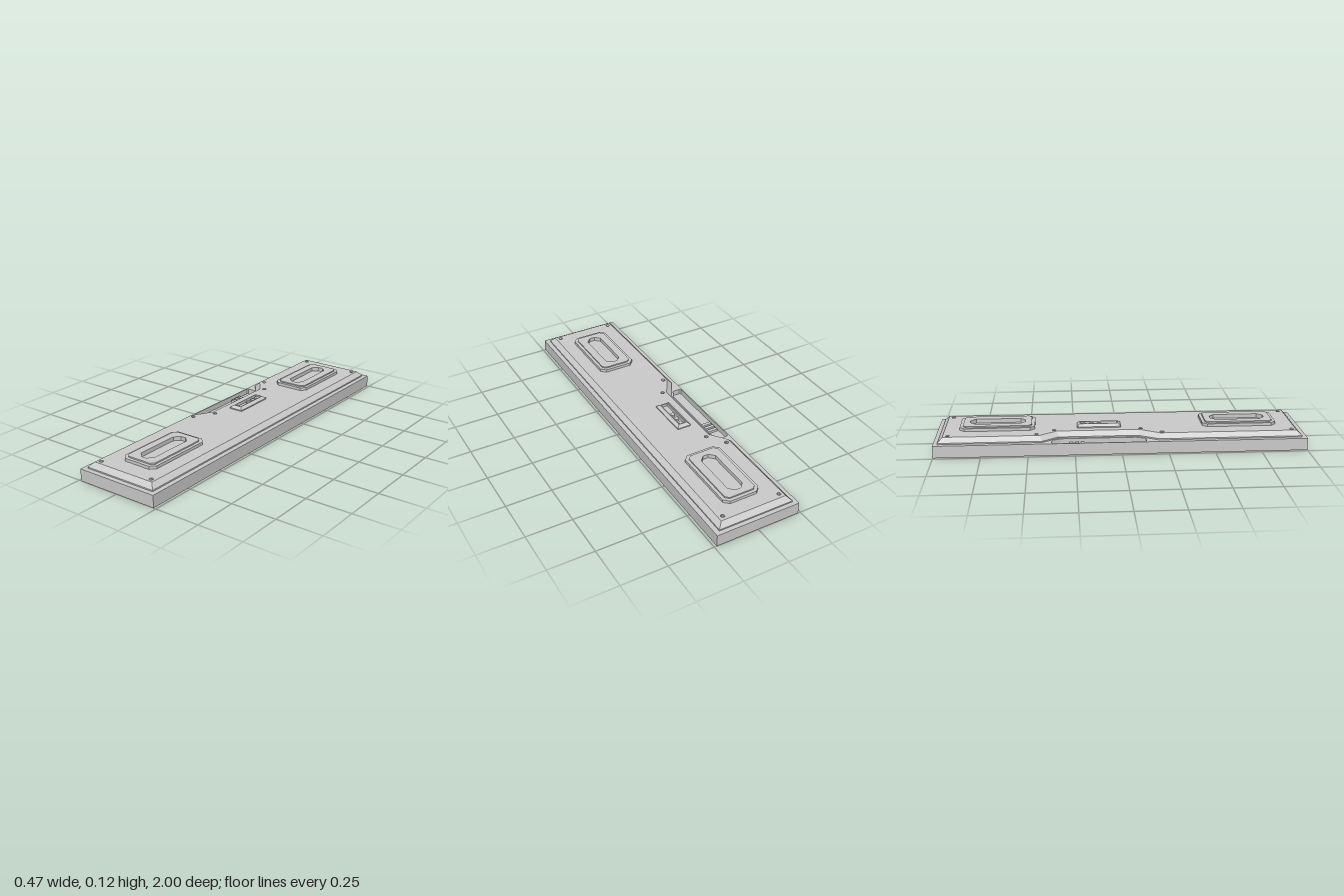
import * as THREE from 'three';
import { mergeGeometries } from 'three/addons/utils/BufferGeometryUtils.js';

const material = new THREE.MeshStandardMaterial({ color: 0xcccccc, flatShading: true });

// Loops are lists of [x, z], counter-clockwise seen from above.
// Skin through rings [loop, y]; rising rings face outward, falling rings face inward.
function loft(rings) {
  const pos = [];
  for (let k = 0; k < rings.length - 1; k++) {
    const [lo, y0] = rings[k], [hi, y1] = rings[k + 1];
    lo.forEach((a, i) => {
      const j = (i + 1) % lo.length, b = lo[j], c = hi[j], d = hi[i];
      const A = [a[0], y0, a[1]], B = [b[0], y0, b[1]], C = [c[0], y1, c[1]], D = [d[0], y1, d[1]];
      pos.push(...A, ...B, ...C, ...A, ...C, ...D);
    });
  }
  const g = new THREE.BufferGeometry();
  g.setAttribute('position', new THREE.Float32BufferAttribute(pos, 3));
  g.computeVertexNormals();
  return g;
}

// Flat upward (or downward) face with optional holes
function cap(loop, y, holes = [], down = false) {
  const s = down ? 1 : -1;
  const pts = (l) => l.map(([x, z]) => new THREE.Vector2(x, s * z));
  const shape = new THREE.Shape(pts(loop));
  holes.forEach((h) => shape.holes.push(new THREE.Path(pts(h))));
  const g = new THREE.ShapeGeometry(shape).toNonIndexed();
  g.deleteAttribute('uv');
  return g.rotateX(s * Math.PI / 2).translate(0, y, 0);
}

// Rectangle with chamfered corners
function octagon(cx, cz, w, d, c) {
  const a = w / 2, b = d / 2;
  return [[a, b - c], [a, c - b], [a - c, -b], [c - a, -b], [-a, c - b], [-a, b - c], [c - a, b], [a - c, b]]
    .map(([x, z]) => [cx + x, cz + z]);
}

function rect(x0, x1, z0, z1) {
  return [[x1, z1], [x1, z0], [x0, z0], [x0, z1]];
}

function circle(cx, cz, r, n = 10) {
  return Array.from({ length: n }, (_, i) => {
    const t = (i / n) * Math.PI * 2;
    return [cx + r * Math.cos(t), cz - r * Math.sin(t)];
  });
}

export function createModel() {
  const group = new THREE.Group();
  const add = (name, ...geos) => {
    const mesh = new THREE.Mesh(mergeGeometries(geos), material);
    mesh.name = name;
    group.add(mesh);
  };
  const baseTop = 0.066, panelTop = 0.098, recessFloor = 0.036;

  // Base slab with a shallow recess beside the notch
  const slab = rect(-0.236, 0.236, -1, 1);
  const recess = [[-0.157, 0.08], [-0.157, -0.325], [-0.18, -0.374], [-0.222, -0.374],
    [-0.23, -0.366], [-0.23, 0.122], [-0.222, 0.13], [-0.18, 0.13]];
  add('base',
    cap(slab, 0, [], true), loft([[slab, 0], [slab, baseTop]]), cap(slab, baseTop, [recess]),
    loft([[recess, baseTop], [recess, recessFloor]]), cap(recess, recessFloor));

  // Small ribs on the recess floor
  for (const z of [-0.27, -0.24, -0.21]) {
    const rib = rect(-0.222, -0.165, z - 0.009, z + 0.009);
    add('recessRib', loft([[rib, recessFloor], [rib, 0.05]]), cap(rib, 0.05));
  }

  // Bevelled panel with a notch in one long side and screw holes in its top
  const panelOuter = [[0.21, 0.974], [0.21, -0.977], [-0.211, -0.977], [-0.211, -0.425],
    [-0.146, -0.337], [-0.146, 0.09], [-0.211, 0.2], [-0.211, 0.974]];
  const panelInner = [[0.185, 0.948], [0.185, -0.951], [-0.187, -0.951], [-0.187, -0.437],
    [-0.12, -0.347], [-0.12, 0.099], [-0.187, 0.208], [-0.187, 0.948]];
  const screws = [[0.16, 0.925], [-0.165, 0.925], [0.16, -0.925], [-0.165, -0.925],
    [-0.165, -0.455], [-0.099, -0.36], [-0.165, 0.218], [-0.099, 0.108]]
    .map(([x, z]) => circle(x, z, 0.011));
  add('panel',
    loft([[panelOuter, baseTop], [panelOuter, 0.073], [panelInner, panelTop]]),
    cap(panelInner, panelTop, screws),
    ...screws.flatMap((s) => [loft([[s, panelTop], [s, 0.086]]), cap(s, 0.086)]));

  // Two stepped octagonal plates, each with a long slot
  for (const z of [-0.667, 0.652]) {
    const foot = octagon(0.005, z, 0.208, 0.405, 0.027);
    const top = octagon(0.005, z, 0.174, 0.37, 0.018);
    const slot = octagon(0.003, z, 0.086, 0.3, 0.028);
    add('slottedPlate',
      loft([[foot, panelTop], [foot, 0.114], [top, 0.114], [top, 0.121], [slot, 0.121], [slot, 0.099]]),
      cap(slot, 0.099));
  }

  // Connector housing: bevelled frame around a channel with three pegs
  const inset = (d) => rect(-0.077 + d, 0.002 - d, -0.236 + d, 0.002 - d);
  add('connectorFrame',
    loft([[inset(0), panelTop], [inset(0), 0.104], [inset(0.016), 0.117], [inset(0.021), 0.117], [inset(0.021), 0.101]]),
    cap(inset(0.021), 0.101));
  for (const z of [-0.199, -0.156, -0.114]) {
    const peg = circle(-0.037, z, 0.013, 12);
    add('connectorPeg', loft([[peg, 0.1], [peg, 0.111]]), cap(peg, 0.111));
  }
  return group;
}
